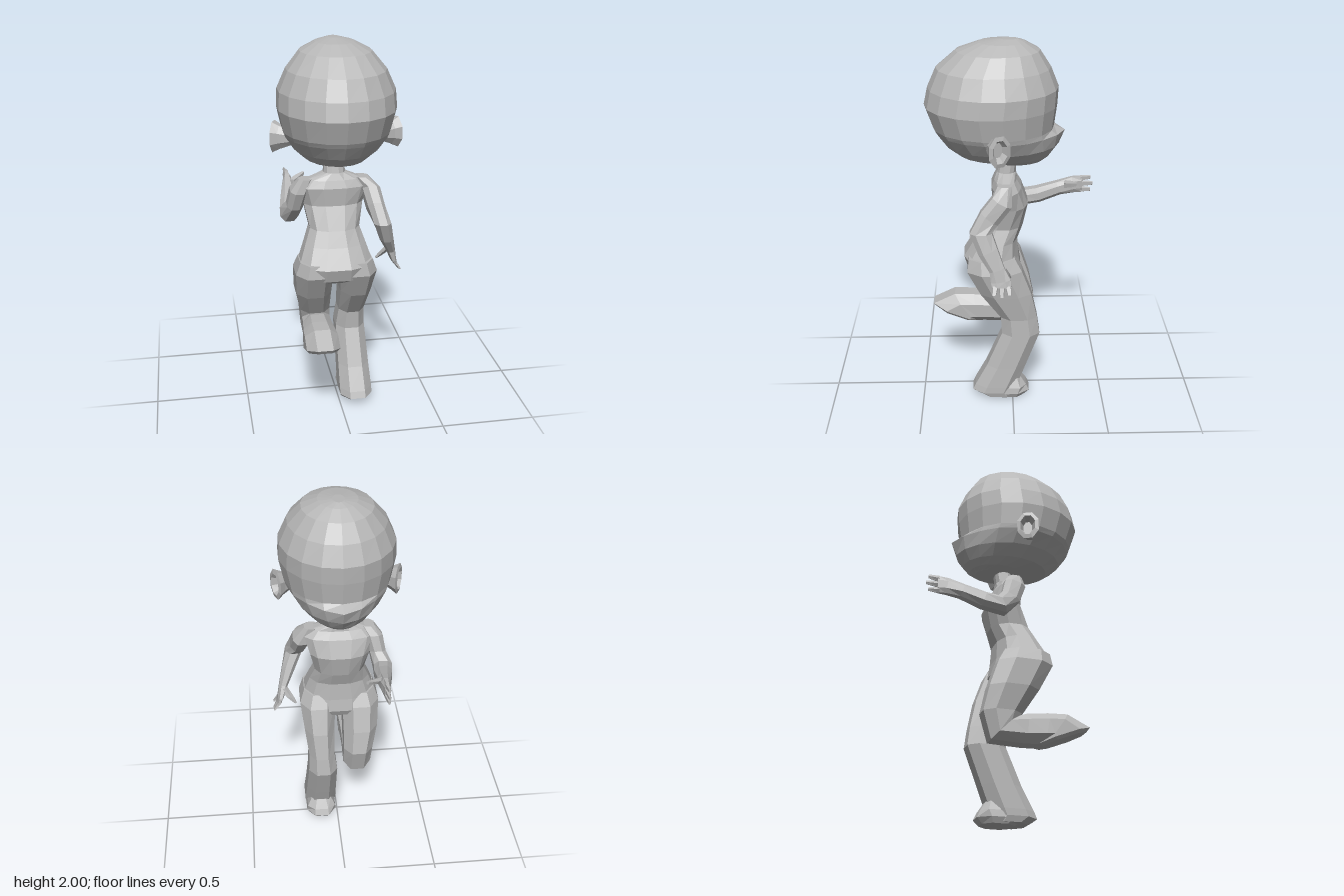
import * as THREE from 'three';

const grey = new THREE.MeshStandardMaterial({ color: 0xb8b8b8, flatShading: true });
grey.name = 'plain grey';

// Closed loft through elliptical sections [x, y, z, radiusX, radiusV, tiltDegrees], ordered from the body outward.
// Tilt turns the section about x: 0 travels down, 90 travels to +z, -90 to -z.
function loft(name, sections, sides = 8, power = 0.85, shape = p => p) {
  const bend = c => Math.sign(c) * Math.pow(Math.abs(c), power);
  const centres = sections.map(s => new THREE.Vector3(s[0], s[1], s[2]));
  const rings = sections.map(([x, y, z, rx, rv, tilt = 0]) => {
    const t = THREE.MathUtils.degToRad(tilt);
    return Array.from({ length: sides }, (_, j) => {
      const a = ((j + 0.5) / sides) * Math.PI * 2;
      const v = bend(Math.sin(a)) * rv;
      return shape(new THREE.Vector3(x + bend(Math.cos(a)) * rx, y + v * Math.sin(t), z + v * Math.cos(t)));
    });
  });
  const points = [];
  const last = rings.length - 1;
  for (let j = 0; j < sides; j++) {
    const k = (j + 1) % sides;
    points.push(centres[0], rings[0][k], rings[0][j]);
    for (let i = 0; i < last; i++) {
      const [a, b, c, d] = [rings[i][j], rings[i][k], rings[i + 1][k], rings[i + 1][j]];
      points.push(a, b, c, a, c, d);
    }
    points.push(centres[last], rings[last][j], rings[last][k]);
  }
  const geometry = new THREE.BufferGeometry().setFromPoints(points);
  geometry.computeVertexNormals();
  const mesh = new THREE.Mesh(geometry, grey);
  mesh.name = name;
  return mesh;
}

// Head from rows of [y, half width, face z, back z], with a pointed muzzle
function makeHead() {
  const rows = [
    [2.0, 0.03, -0.03, 0.06], [1.985, 0.1, -0.07, 0.17], [1.945, 0.18, -0.14, 0.28],
    [1.86, 0.25, -0.195, 0.38], [1.76, 0.295, -0.235, 0.425], [1.67, 0.3, -0.23, 0.445],
    [1.555, 0.275, -0.215, 0.405], [1.53, 0.265, -0.221, 0.39], [1.46, 0.22, -0.215, 0.34],
    [1.405, 0.165, -0.19, 0.27], [1.375, 0.11, -0.16, 0.13], [1.36, 0.05, -0.13, -0.03],
  ];
  const muzzle = p => {
    const reach = Math.max(0, 1 - Math.abs(p.x + 0.01) / 0.17);
    const height = p.y > 1.54 || p.y < 1.38 ? 0 : (p.y - 1.38) / 0.15;
    if (p.z < 0) p.z -= 0.05 * reach * height;
    return p;
  };
  const sections = rows.map(([y, w, f, b]) => [-0.01, y, (f + b) / 2, w, (b - f) / 2]);
  // a quarter-step offset places one vertex on the face centre line
  return loft('head', sections, 18, 1, muzzle);
}

// Cupped ear facing outward and slightly to the face
function makeEar(side) {
  const ear = loft(side > 0 ? 'leftEar' : 'rightEar', [
    [0, 0.03, 0, 0.04, 0.03], [0, -0.03, 0, 0.065, 0.045], [0, -0.065, 0, 0.085, 0.062],
    [0, -0.07, 0, 0.062, 0.042], [0, -0.035, -0.005, 0.04, 0.025],
  ], 8, 1);
  ear.rotation.set(0, side * 0.45, side * Math.PI / 2, 'YXZ');
  ear.position.set(-0.01 + side * 0.255, 1.52, 0.095);
  return ear;
}

export function createModel() {
  const model = new THREE.Group();
  model.name = 'figure';
  model.add(makeHead(), makeEar(1), makeEar(-1));

  // Neck, shoulders, waist and hips
  model.add(loft('torso', [
    [-0.01, 1.4, 0.015, 0.05, 0.045], [-0.01, 1.31, 0.03, 0.058, 0.05],
    [-0.015, 1.275, 0.035, 0.15, 0.06], [-0.015, 1.235, 0.03, 0.19, 0.08],
    [-0.015, 1.14, 0.01, 0.16, 0.095], [-0.015, 1.02, 0.05, 0.135, 0.11],
    [-0.017, 0.94, 0.085, 0.165, 0.115], [-0.018, 0.84, 0.112, 0.2, 0.15],
    [-0.018, 0.77, 0.095, 0.2, 0.145], [-0.018, 0.73, 0.07, 0.12, 0.1],
  ], 12));

  // Standing leg with a flared hem, and its foot
  model.add(loft('leftLeg', [
    [0.09, 0.86, 0.11, 0.09, 0.13], [0.1, 0.79, 0.095, 0.105, 0.155],
    [0.098, 0.65, 0.035, 0.088, 0.145], [0.09, 0.5, -0.035, 0.075, 0.105],
    [0.085, 0.4, -0.045, 0.085, 0.11], [0.09, 0.2, 0.035, 0.09, 0.115],
    [0.093, 0.08, 0.09, 0.094, 0.125], [0.094, 0.045, 0.105, 0.094, 0.125],
    [0.095, 0.015, 0.08, 0.085, 0.1],
  ]));
  model.add(loft('leftFoot', [
    [0.094, 0.12, -0.01, 0.06, 0.035], [0.094, 0.07, -0.01, 0.085, 0.07],
    [0.094, 0.035, 0.03, 0.09, 0.13], [0.094, 0.005, 0.02, 0.075, 0.09],
  ]));

  // Raised leg, bent back at the knee with the sole turned out
  model.add(loft('rightLeg', [
    [-0.125, 0.86, 0.11, 0.09, 0.13], [-0.133, 0.79, 0.095, 0.107, 0.155],
    [-0.13, 0.65, 0.035, 0.1, 0.14], [-0.115, 0.52, -0.02, 0.085, 0.11],
    [-0.11, 0.44, -0.015, 0.082, 0.1, 45], [-0.115, 0.445, 0.1, 0.082, 0.085, 85],
    [-0.12, 0.452, 0.2, 0.09, 0.09, 80], [-0.12, 0.455, 0.26, 0.094, 0.11, 55],
    [-0.12, 0.425, 0.3, 0.094, 0.16, 22], [-0.12, 0.41, 0.305, 0.08, 0.135, 22],
  ]));

  // Arms, each tapering into a flat palm
  model.add(loft('leftArm', [
    [0.13, 1.28, 0.04, 0.04, 0.04], [0.18, 1.21, 0.055, 0.05, 0.06, 30],
    [0.195, 1.13, 0.12, 0.048, 0.06, 40], [0.22, 1.06, 0.165, 0.048, 0.06],
    [0.25, 0.97, 0.13, 0.04, 0.055, -25], [0.285, 0.88, 0.085, 0.026, 0.042, -20],
    [0.303, 0.82, 0.065, 0.018, 0.055, -10], [0.315, 0.79, 0.06, 0.012, 0.052],
  ]));
  model.add(loft('rightArm', [
    [-0.16, 1.28, 0.04, 0.04, 0.04], [-0.195, 1.22, 0.03, 0.05, 0.06, -15],
    [-0.215, 1.13, 0.0, 0.045, 0.055, -25], [-0.238, 1.065, -0.055, 0.052, 0.055, -65],
    [-0.228, 1.085, -0.15, 0.05, 0.045, -105], [-0.218, 1.125, -0.26, 0.038, 0.04, -108],
    [-0.213, 1.145, -0.34, 0.024, 0.048, -100], [-0.215, 1.147, -0.39, 0.014, 0.05, -90],
  ]));

  // Fingers fanned across each palm
  for (let i = -1; i <= 1; i++) {
    const drop = 0.012 * Math.abs(i);
    model.add(loft('leftFinger', [
      [0.31, 0.8, 0.06 + i * 0.033, 0.013, 0.018], [0.34, 0.747 + drop, 0.06 + i * 0.04, 0.006, 0.012],
    ], 5));
    model.add(loft('rightFinger', [
      [-0.215, 1.147 + i * 0.032, -0.38, 0.014, 0.018, -90],
      [-0.22, 1.147 + i * 0.036, -0.448 + drop, 0.006, 0.012, -90],
    ], 5));
  }

  // Thumbs
  model.add(loft('leftThumb', [
    [0.285, 0.88, 0.06, 0.02, 0.025], [0.255, 0.835, 0.035, 0.02, 0.018], [0.225, 0.8, 0.02, 0.008, 0.012],
  ], 5));
  model.add(loft('rightThumb', [
    [-0.2, 1.15, -0.29, 0.025, 0.022, -90], [-0.16, 1.165, -0.325, 0.022, 0.018, -90],
    [-0.122, 1.18, -0.352, 0.008, 0.012, -90],
  ], 5));

  return model;
}
